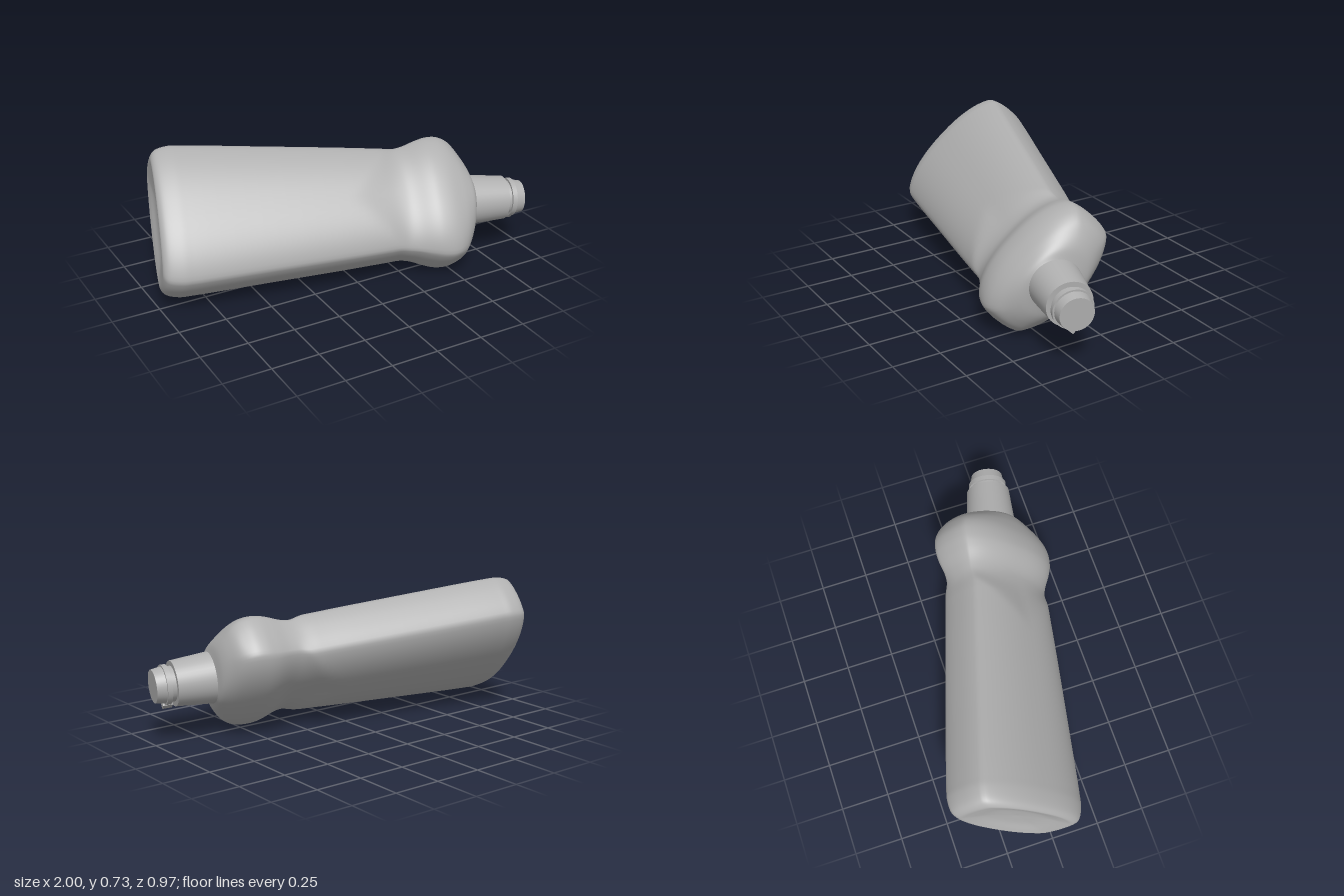
import * as THREE from 'three';

const { smoothstep, lerp } = THREE.MathUtils;

// Stations along the bottle axis: position, half width, half thickness
const STATIONS = [
  [-0.93, 0, 0], [-0.938, 0.16, 0.09], [-0.955, 0.275, 0.147], [-0.958, 0.325, 0.172],
  [-0.935, 0.36, 0.193], [-0.87, 0.378, 0.207], [-0.8, 0.376, 0.209],
  [-0.4, 0.345, 0.204], [0, 0.314, 0.196], [0.2, 0.297, 0.191], [0.29, 0.291, 0.19],
  [0.36, 0.302, 0.194], [0.44, 0.329, 0.206], [0.5, 0.344, 0.211], [0.56, 0.343, 0.206],
  [0.625, 0.312, 0.188], [0.667, 0.26, 0.17], [0.697, 0.2, 0.152], [0.715, 0.13, 0.13],
];

// Lens-shaped section with blunt ends, turning round at the neck
function bottleGeometry(around = 80, along = 110) {
  const curve = new THREE.CatmullRomCurve3(
    STATIONS.map((p) => new THREE.Vector3(...p)), false, 'centripetal');
  const positions = [];
  const index = [];
  for (let i = 0; i <= along; i++) {
    const { x: s, y: halfW, z: halfT } = curve.getPoint(i / along);
    const toNeck = smoothstep(s, 0.58, 0.715);
    const n = lerp(2.25, 2, toNeck);
    const reach = lerp(lerp(1.12, 1.08, smoothstep(s, 0.2, 0.5)), 1, toNeck);
    for (let j = 0; j < around; j++) {
      const a = (j / around) * Math.PI * 2;
      const c = Math.cos(a), d = Math.sin(a);
      const full = reach * Math.abs(c) ** (2 / n);
      const w = Math.sign(c) * (full - 0.65 * (1 - toNeck) * Math.max(0, full - 0.95));
      let t = Math.sign(d) * Math.abs(d) ** (2 / n);
      // V-shaped grip hollow on both broad faces, just behind the shoulder
      const start = 0.02 + 0.24 * Math.abs(w);
      t *= 1 - 0.13 * smoothstep(s, start, 0.32) * (1 - smoothstep(s, 0.32, 0.48));
      positions.push(s, halfW * w, halfT * t);
    }
  }
  for (let i = 0; i < along; i++) {
    for (let j = 0; j < around; j++) {
      const k = (j + 1) % around;
      const a = i * around + j, b = i * around + k;
      index.push(a, b, a + around, b, b + around, a + around);
    }
  }
  const g = new THREE.BufferGeometry();
  g.setAttribute('position', new THREE.Float32BufferAttribute(positions, 3));
  g.setIndex(index);
  g.computeVertexNormals();
  return g;
}

// Closed tapered ring along the bottle axis
function drum(name, from, to, r0, r1, material) {
  const g = new THREE.CylinderGeometry(r1, r0, to - from, 40);
  g.rotateZ(-Math.PI / 2);
  g.translate((from + to) / 2, 0, 0);
  const mesh = new THREE.Mesh(g, material);
  mesh.name = name;
  return mesh;
}

export function createModel() {
  const grey = new THREE.MeshStandardMaterial({ color: 0xb0b0b0 });
  grey.name = 'plain grey';

  const bottle = new THREE.Group();
  bottle.name = 'bottle';
  const body = new THREE.Mesh(bottleGeometry(), grey);
  body.name = 'body';
  bottle.add(body);

  // Cap and stepped nozzle
  bottle.add(
    drum('cap', 0.695, 0.91, 0.134, 0.116, grey),
    drum('nozzleStem', 0.9, 0.95, 0.09, 0.09, grey),
    drum('nozzleFlange', 0.935, 0.96, 0.102, 0.102, grey),
    drum('nozzleTip', 0.955, 1.01, 0.094, 0.085, grey),
  );
  // Small catch under the flange
  const catchTab = new THREE.Mesh(new THREE.BoxGeometry(0.05, 0.03, 0.03), grey);
  catchTab.name = 'catch';
  catchTab.position.set(0.945, -0.075, -0.07);
  bottle.add(catchTab);

  // Lay the bottle down: axis, width and thickness directions
  const axis = new THREE.Vector3(0.97, -0.05, 0.243).normalize();
  const width = new THREE.Vector3(0, 0.71, -0.704);
  width.addScaledVector(axis, -width.dot(axis)).normalize();
  const thick = new THREE.Vector3().crossVectors(axis, width);
  bottle.quaternion.setFromRotationMatrix(
    new THREE.Matrix4().makeBasis(axis, width, thick));
  bottle.position.set(0, 0.322, 0.054);

  const model = new THREE.Group();
  model.name = 'lyingBottle';
  model.add(bottle);
  return model;
}
